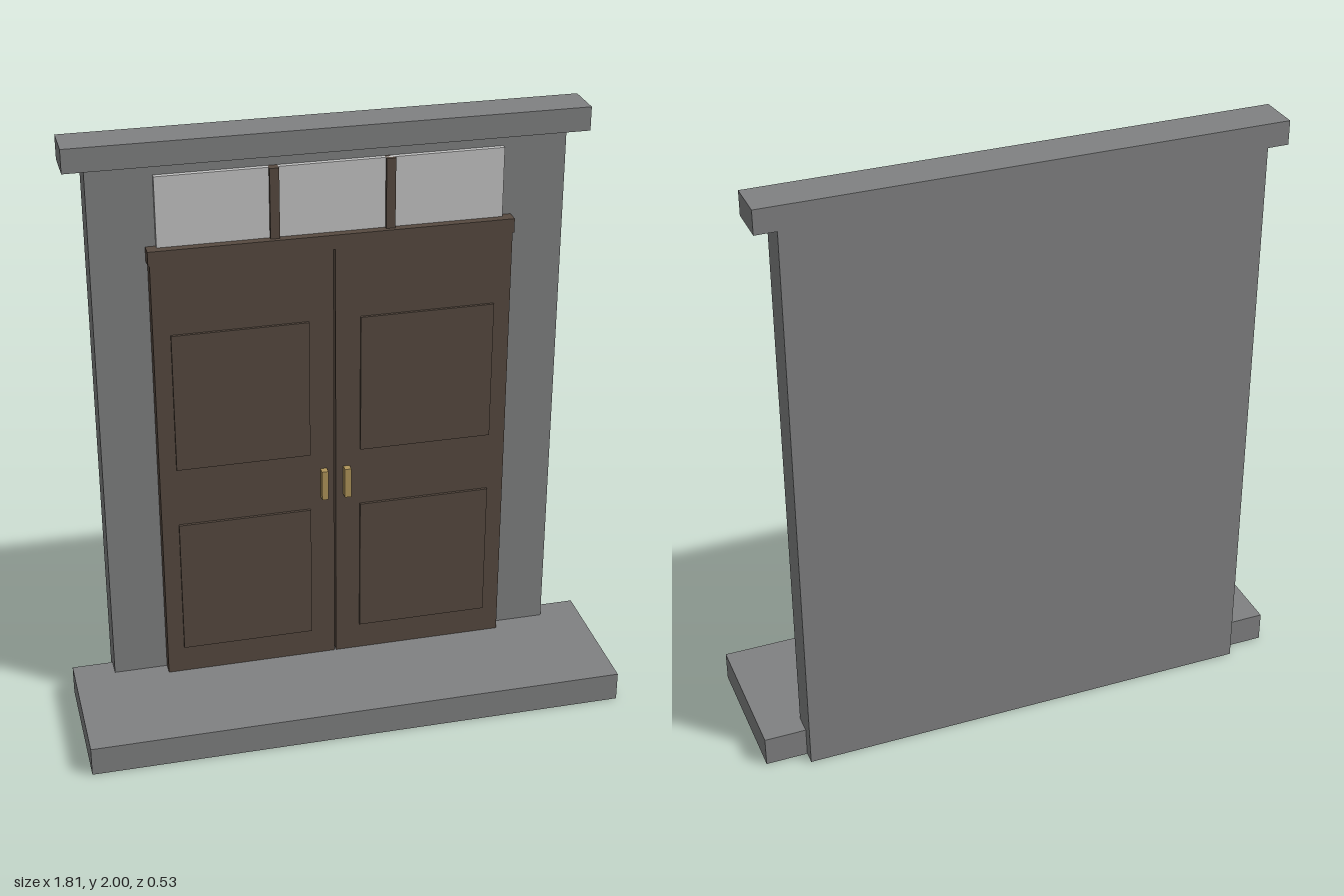
import * as THREE from 'three';

const material = (name, color) => {
  const m = new THREE.MeshStandardMaterial({ color });
  m.name = name;
  return m;
};

export function createModel() {
  const group = new THREE.Group();
  const stone = material('stone', 0x808182);
  const wood = material('wood', 0x574a40);
  const glass = material('glass', 0xc6c6c6);
  const brass = material('brass', 0xb0955a);
  const shadowGap = material('shadowGap', 0x35302d);

  // Box given by its extents along x, y and z
  const block = (name, mat, [x0, x1], [y0, y1], [z0, z1], parent = group) => {
    const mesh = new THREE.Mesh(new THREE.BoxGeometry(x1 - x0, y1 - y0, z1 - z0), mat);
    mesh.position.set((x0 + x1) / 2, (y0 + y1) / 2, (z0 + z1) / 2);
    mesh.name = name;
    parent.add(mesh);
    return mesh;
  };

  // Stone surround
  block('step', stone, [-0.904, 0.904], [0, 0.1], [-0.219, 0.263]);
  block('wall', stone, [-0.766, 0.766], [0, 1.925], [-0.263, -0.155]);
  block('lintel', stone, [-0.835, 0.835], [1.922, 2], [-0.263, -0.125]);

  // Transom window above the doors
  block('transomGlass', glass, [-0.558, 0.558], [1.64, 1.885], [-0.157, -0.138]);
  for (const x of [-0.186, 0.186]) {
    block('mullion', wood, [x - 0.015, x + 0.015], [1.64, 1.885], [-0.157, -0.125]);
  }
  block('doorHead', wood, [-0.591, 0.591], [1.605, 1.653], [-0.16, -0.11]);
  block('doorGap', shadowGap, [-0.004, 0.004], [0.09, 1.605], [-0.157, -0.15]);

  // Mirrored door leaves with raised panels and pull handles
  for (const side of [-1, 1]) {
    const leaf = new THREE.Group();
    leaf.name = side > 0 ? 'leftDoor' : 'rightDoor';
    const span = (a, b) => (side > 0 ? [a, b] : [-b, -a]);
    block('leaf', wood, span(0.003, 0.586), [0.05, 1.606], [-0.16, -0.112], leaf);
    for (const y of [0.197, 0.885]) {
      block('raisedPanel', wood, span(0.085, 0.53), [y, y + 0.48], [-0.115, -0.103], leaf);
    }
    block('handle', brass, span(0.028, 0.05), [0.72, 0.826], [-0.115, -0.086], leaf);
    group.add(leaf);
  }
  return group;
}
